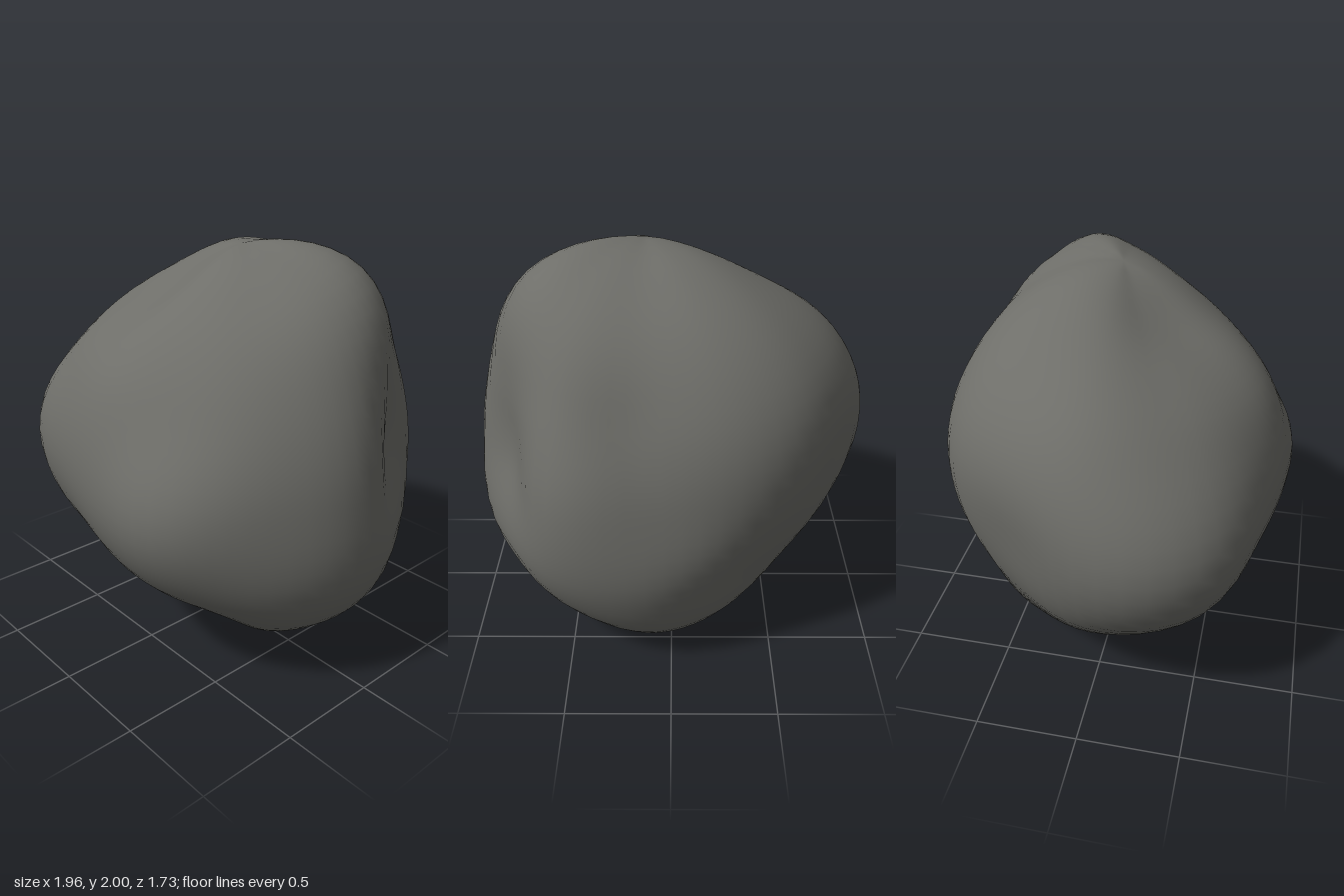
import * as THREE from 'three';
import { mergeVertices } from 'three/addons/utils/BufferGeometryUtils.js';

// Radius of the boulder every 30 degrees of longitude (right, front, left, back),
// one row per 30 degrees of latitude from the bottom pole to the top pole.
const RADII = [
  Array(12).fill(0.95),
  [0.94, 0.92, 0.82, 0.79, 0.78, 0.86, 0.96, 1.0, 1.04, 1.05, 1.0, 0.95],
  [0.93, 0.92, 0.88, 0.84, 0.85, 0.98, 1.0, 0.92, 0.9, 0.95, 0.96, 0.91],
  [0.84, 0.84, 0.88, 0.84, 0.9, 1.08, 1.05, 0.92, 0.88, 0.84, 0.86, 0.74],
  [0.85, 0.82, 0.83, 0.86, 0.87, 0.96, 1.04, 0.98, 0.92, 0.85, 0.9, 0.83],
  [0.95, 0.88, 0.85, 0.83, 0.82, 0.87, 0.95, 0.97, 0.96, 0.94, 0.99, 1.03],
  Array(12).fill(0.98),
];

// Local bumps and dents: longitude, latitude, spread (degrees), height
const BUMPS = [
  [73, -5, 15, 0.05], // front nose
  [75, 20, 16, -0.03], // hollow above the nose
  [167, 0, 16, 0.045], // side corner
  [195, -2, 12, -0.04], // flat behind the side corner
  [218, 14, 17, 0.045], // back corner
  [338, 60, 16, 0.025], // top shoulder
  [347, 44, 14, 0.03], // outer shoulder
  [225, 72, 16, 0.02], // crown
  [225, 44, 14, 0.02], // back shoulder
  [95, 56, 13, 0.025], // front shoulder
  [120, 42, 14, 0.015], // front side shoulder
  [140, 73, 9, -0.03], // groove beside the top
  [278, 28, 9, -0.025], // back groove, upper end
  [268, 14, 9, -0.02], // back groove, middle
  [259, -3, 10, -0.025], // back groove, lower end
  [295, 2, 14, 0.04], // ridge beside the back groove
  [322, 18, 15, -0.03], // side hollow
  [355, -42, 16, 0.03], // lower corner
  [140, -28, 14, 0.02], // lower front edge
  [130, -50, 13, -0.02], // undercut
].map(([lon, lat, spread, height]) => ({
  dir: direction(THREE.MathUtils.degToRad(lat), THREE.MathUtils.degToRad(lon)),
  spread: THREE.MathUtils.degToRad(spread),
  height,
}));

function direction(lat, lon) {
  return new THREE.Vector3(Math.cos(lat) * Math.cos(lon), Math.sin(lat), Math.cos(lat) * Math.sin(lon));
}

// Smooth interpolation through four neighbouring values
function spline(a, b, c, d, t) {
  return b + 0.5 * t * (c - a + t * (2 * a - 5 * b + 4 * c - d + t * (3 * (b - c) + d - a)));
}

// Table lookup that wraps around and carries on over the poles
function cell(row, col) {
  if (row < 0) return cell(-row, col + 6);
  if (row > 6) return cell(12 - row, col + 6);
  return RADII[row][((col % 12) + 12) % 12];
}

function radiusAt(dir) {
  const lat = Math.asin(THREE.MathUtils.clamp(dir.y, -1, 1));
  const v = (lat / Math.PI + 0.5) * 6;
  const u = (Math.atan2(dir.z, dir.x) / Math.PI) * 6;
  const row = Math.min(Math.floor(v), 5);
  const col = Math.floor(u);
  const around = (r) => spline(...[-1, 0, 1, 2].map((k) => cell(r, col + k)), u - col);
  let radius = spline(...[-1, 0, 1, 2].map((k) => around(row + k)), v - row);
  for (const bump of BUMPS) {
    radius += bump.height * Math.exp(-0.5 * (dir.angleTo(bump.dir) / bump.spread) ** 2);
  }
  return radius;
}

export function createModel() {
  const stone = new THREE.MeshStandardMaterial({ color: 0x6e6e69 });
  stone.name = 'stone grey';

  // Weld the sphere so the normals stay smooth over the seam and the poles
  let geometry = new THREE.SphereGeometry(1, 64, 40);
  geometry.deleteAttribute('uv');
  geometry.deleteAttribute('normal');
  geometry = mergeVertices(geometry, 1e-5);

  // Push every point out to the boulder's radius in its direction
  const pos = geometry.attributes.position;
  const p = new THREE.Vector3();
  for (let i = 0; i < pos.count; i++) {
    p.fromBufferAttribute(pos, i).normalize();
    p.multiplyScalar(radiusAt(p));
    pos.setXYZ(i, p.x, p.y, p.z);
  }

  // Centre it and stand it on the ground
  geometry.center();
  geometry.translate(0, -geometry.boundingBox.min.y, 0);
  geometry.computeVertexNormals();

  const boulder = new THREE.Mesh(geometry, stone);
  boulder.name = 'boulder';
  const model = new THREE.Group();
  model.name = 'rock';
  model.add(boulder);
  return model;
}
